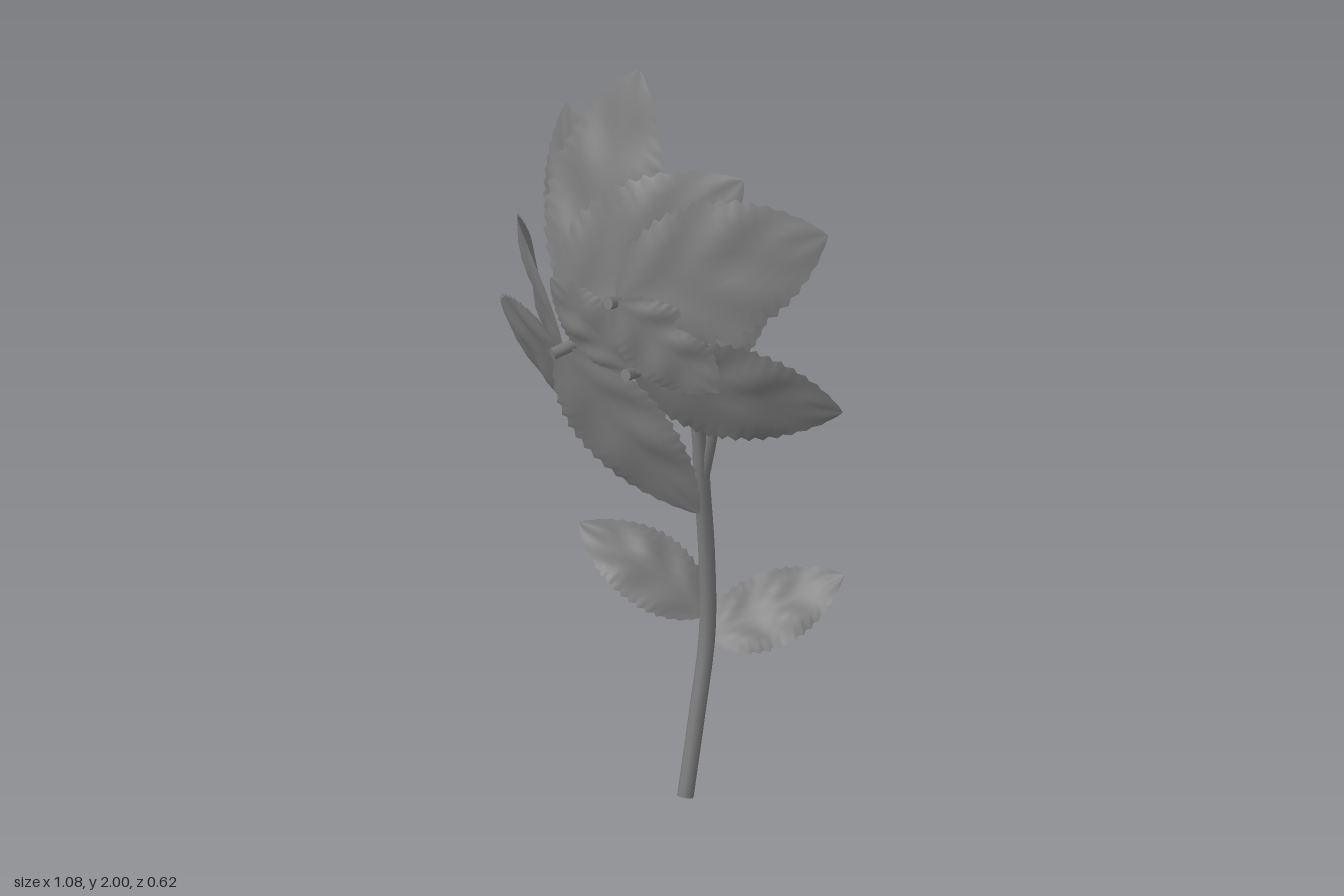
import * as THREE from 'three';

const V = (p) => new THREE.Vector3(...p);

export function createModel() {
  const group = new THREE.Group();
  const mat = new THREE.MeshStandardMaterial({ color: 0x777777, side: THREE.DoubleSide });
  const add = (geo, name) => {
    const mesh = new THREE.Mesh(geo, mat);
    mesh.name = name;
    group.add(mesh);
    return mesh;
  };

  // Round stem along a smooth path, closed at both ends
  function stem(name, r, points) {
    const curve = new THREE.CatmullRomCurve3(points.map(V));
    add(new THREE.TubeGeometry(curve, 40, r, 10), name);
    for (const t of [0, 1]) {
      const cap = add(new THREE.CircleGeometry(r, 10), name + 'End');
      const dir = curve.getTangent(t).multiplyScalar(t ? 1 : -1);
      cap.position.copy(curve.getPoint(t));
      cap.quaternion.setFromUnitVectors(new THREE.Vector3(0, 0, 1), dir);
    }
  }

  // Serrated, pointed leaf from base to tip; its face turns towards "facing"
  function leaf(name, base, tip, halfWidth, { facing = [0, 0, 1], arch = 0.02 } = {}) {
    const teeth = 16, rows = teeth * 3, cols = 10;
    const a = V(base), axis = V(tip).sub(a);
    const dir = axis.clone().normalize();
    const side = dir.clone().cross(V(facing)).normalize();
    const normal = side.clone().cross(dir);
    const pos = [], index = [];
    const raw = (t) => Math.pow(t, 0.68) * Math.pow(1 - t, 0.85);
    const peak = raw(0.68 / 1.53);
    for (let i = 0; i <= rows; i++) {
      const t = i / rows;
      const tooth = [0.95, 0.99, 1.04][i % 3];
      const swell = Math.sin(Math.PI * t);
      for (let j = 0; j <= cols; j++) {
        const v = (j / cols) * 2 - 1, s = Math.abs(v);
        const w = halfWidth * raw(t) / peak * (1 + (tooth - 1) * s ** 4);
        // arched midrib, cupped halves and rippled side veins
        const vein = 0.007 * Math.sin(t * 17 - s * 4) * Math.sin(Math.PI * s);
        const h = swell * (arch + 0.02 * (s - s * s * 1.4) + vein);
        const p = a.clone().addScaledVector(axis, t).addScaledVector(side, v * w).addScaledVector(normal, h);
        pos.push(p.x, p.y, p.z);
        if (i < rows && j < cols) {
          const k = i * (cols + 1) + j, n = k + cols + 1;
          index.push(k, k + 1, n, k + 1, n + 1, n);
        }
      }
    }
    const geo = new THREE.BufferGeometry();
    geo.setAttribute('position', new THREE.Float32BufferAttribute(pos, 3));
    geo.setIndex(index);
    geo.computeVertexNormals();
    add(geo, name);
  }

  // Main stem and its three branches
  const fork = [0.065, 0.82, -0.062];
  stem('mainStem', 0.021, [[0.175, 0.005, 0.145], [0.145, 0.2, 0.06], [0.115, 0.4, -0.02],
    [0.085, 0.62, -0.055], fork, [0.055, 0.98, -0.067]]);
  stem('upperBranch', 0.016, [fork, [0.09, 1.03, -0.08], [0.1, 1.25, -0.08],
    [0.1, 1.41, -0.02], [0.085, 1.53, 0.11], [0.05, 1.6, 0.3]]);
  stem('rightBranch', 0.016, [fork, [0.045, 1.0, -0.065], [0.03, 1.2, -0.05],
    [0, 1.33, 0.01], [-0.06, 1.37, 0.13], [-0.13, 1.355, 0.3]]);
  stem('leftBranch', 0.016, [fork, [0.065, 1.02, -0.055], [0.09, 1.2, -0.015],
    [0.1, 1.31, 0.08], [0.09, 1.38, 0.28]]);

  // Crown leaves around the branch ends
  leaf('topLeaf', [-0.16, 1.43, 0.18], [-0.165, 2, -0.1], 0.165, { arch: 0.005 });
  leaf('upperBackLeaf', [-0.16, 1.43, 0.13], [-0.38, 1.81, -0.075], 0.145, { facing: [-0.2, 0, 1], arch: 0.01 });
  leaf('upperMiddleLeaf', [-0.15, 1.44, 0.25], [0.2, 1.845, -0.06], 0.18, { facing: [0, 0.05, 1] });
  leaf('upperOuterLeaf', [0.05, 1.59, 0.27], [0.475, 1.805, -0.055], 0.18, { facing: [0, 0.15, 1] });
  leaf('innerLeaf', [0.06, 1.6, 0.285], [0.325, 1.38, 0.195], 0.105, { facing: [0.35, 0.3, 0.9], arch: 0.01 });
  leaf('backLeaf', [0.08, 1.38, 0.22], [0.32, 1.535, -0.015], 0.12);
  leaf('centreLeaf', [0.085, 1.37, 0.25], [-0.18, 1.54, 0.245], 0.105, { arch: 0.01 });
  leaf('leftOuterLeaf', [0.09, 1.38, 0.25], [0.538, 1.285, -0.035], 0.16);
  leaf('rightOuterLeaf', [-0.13, 1.41, 0.27], [-0.538, 1.275, -0.13], 0.185, { arch: 0.03 });
  leaf('lowerOuterLeaf', [-0.13, 1.35, 0.26], [-0.475, 1.03, -0.01], 0.165);
  leaf('lowerMiddleLeaf', [-0.13, 1.35, 0.26], [0.235, 0.94, 0.165], 0.17);

  // Two leaves low on the stem, facing up and slightly forward
  leaf('lowerStemLeaf', [0.1, 0.37, -0.03], [0.325, 0.505, -0.31], 0.105, { facing: [0.1, 0.8, 0.6], arch: -0.005 });
  leaf('upperStemLeaf', [0.1, 0.44, -0.03], [-0.265, 0.59, 0.02], 0.105, { facing: [0, 0.9, 0.3], arch: 0.035 });

  return group;
}
